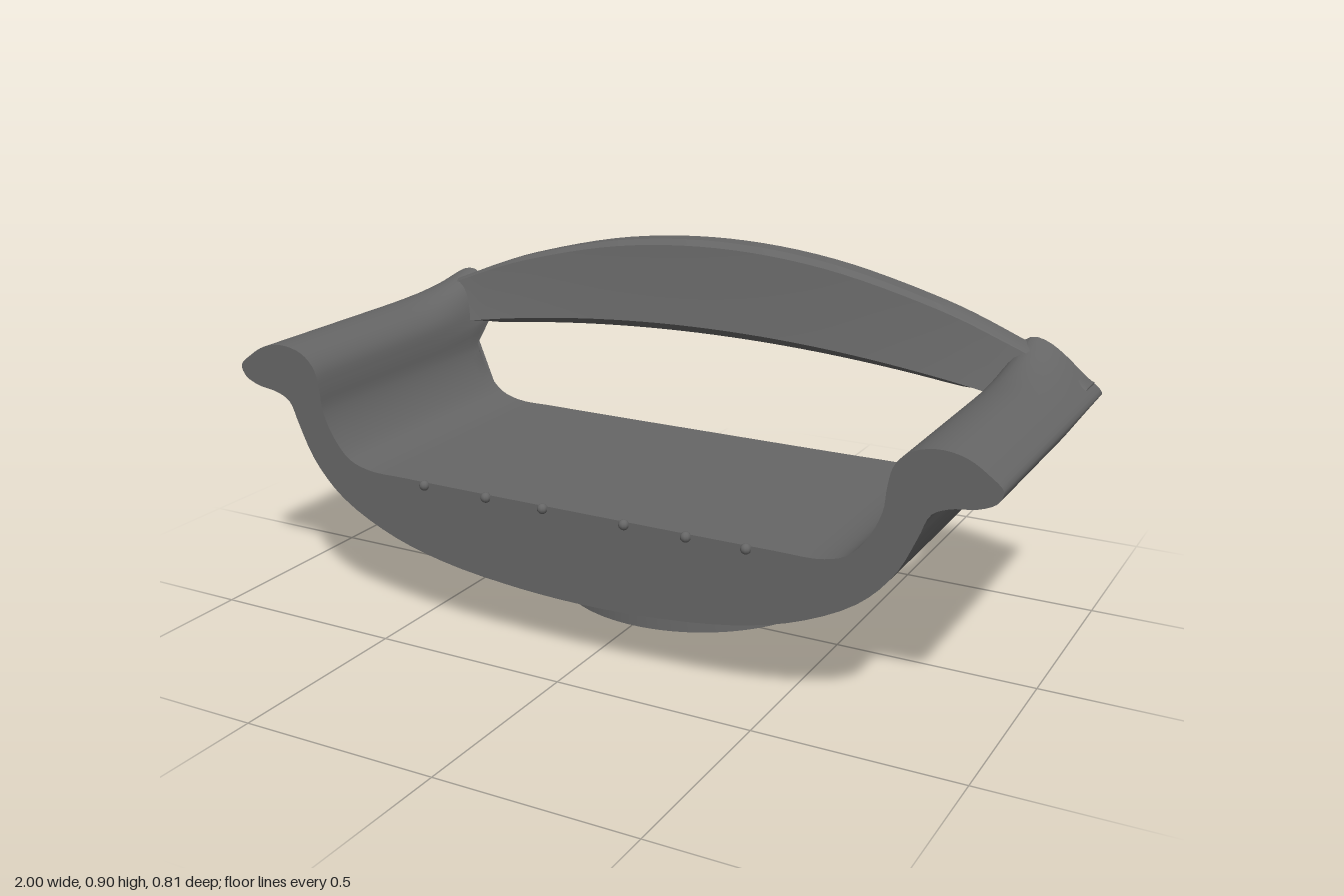
import * as THREE from 'three';
import { toCreasedNormals } from 'three/addons/utils/BufferGeometryUtils.js';

const { smoothstep, clamp, lerp } = THREE.MathUtils;
const grey = new THREE.MeshStandardMaterial({ color: 0x666666 });
grey.name = 'charcoal grey';

function part(name, geometry, crease = 0.6) {
  const mesh = new THREE.Mesh(crease ? toCreasedNormals(geometry, crease) : geometry, grey);
  mesh.name = name;
  return mesh;
}

// Move every vertex by a rule
function warp(geometry, rule) {
  const pos = geometry.attributes.position;
  const v = new THREE.Vector3();
  for (let i = 0; i < pos.count; i++) {
    v.fromBufferAttribute(pos, i);
    rule(v);
    pos.setXYZ(i, v.x, v.y, v.z);
  }
  return geometry;
}

// Seat shell and scrolled arms: one U-shaped section run front to back
function seatShell() {
  const half = [
    [0, .155], [.2, .163], [.4, .188], [.56, .232], [.7, .305], [.78, .39], [.825, .48],
    [.85, .535], [.89, .555], [.95, .565], [.99, .585], [1, .612], [.97, .64], [.92, .67],
    [.86, .68], [.8, .665], [.765, .63], [.752, .58], [.745, .525], [.715, .46],
    [.67, .41], [.61, .39], [.5, .388], [.25, .387], [0, .387],
  ];
  const mirrored = half.slice(1, -1).reverse().map(([x, y]) => [-x, y]);
  const points = [...half, ...mirrored].map(([x, y]) => new THREE.Vector3(x, y, 0));
  const curve = new THREE.CatmullRomCurve3(points, true, 'centripetal');
  const shape = new THREE.Shape(curve.getPoints(170).slice(0, -1).map(p => new THREE.Vector2(p.x, p.y)));
  const geometry = new THREE.ExtrudeGeometry(shape, { depth: .69, steps: 16, bevelEnabled: false });
  geometry.translate(0, 0, -.3);
  return warp(geometry, v => {
    const { x, y, z } = v;
    const rear = clamp((-.1 - z) / .2, 0, 1);
    // underside rises toward the rear
    if (y < .387) {
      v.y += .07 * clamp((.14 - z) / .44, 0, 1) * (.387 - y) / .232;
      v.z += .015 * rear * (.387 - y) / .232;
    }
    // arms reach further back and sweep up into the backrest
    v.z -= .1 * rear * smoothstep(y, .54, .6);
    v.y += .06 * rear * rear * smoothstep(y, .61, .68) * (1 - smoothstep(Math.abs(x), .8, .97));
    v.y += .02 * rear * smoothstep(y, .54, .56) * (1 - smoothstep(y, .57, .62));
  });
}

// Arched backrest lofted from sections across the width
function backrest() {
  const crest = new THREE.SplineCurve([
    [-.98, .638], [-.9, .68], [-.8, .725], [-.6, .8], [-.3, .872], [0, .896],
    [.3, .872], [.6, .8], [.8, .725], [.9, .68], [.98, .638],
  ].map(p => new THREE.Vector2(...p)));
  const stations = 60, ring = 8, positions = [], index = [];
  for (let i = 0; i <= stations; i++) {
    const { x, y: top } = crest.getPoint(i / stations);
    const bottom = Math.max(.595, .652 - .05 * (x / .7) ** 2);
    const h = top - bottom;
    const backZ = lerp(-.335, -.4, smoothstep(Math.abs(x), .65, .85));
    const section = [
      [-.28, bottom + .1 * h], [-.305, bottom + .5 * h], [-.325, top - .06 * h], [-.34, top],
      [-.39, top], [-.402, top - .08 * h], [backZ, bottom + .1 * h], [backZ + .02, bottom],
    ];
    for (const [z, y] of section) positions.push(x, y, z);
  }
  for (let i = 0; i < stations; i++) {
    for (let j = 0; j < ring; j++) {
      const a = i * ring + j, b = i * ring + (j + 1) % ring;
      index.push(a, a + ring, b, b, a + ring, b + ring);
    }
  }
  const last = stations * ring;
  for (let j = 1; j < ring - 1; j++) {
    index.push(0, j, j + 1, last, last + j + 1, last + j);
  }
  const geometry = new THREE.BufferGeometry();
  geometry.setAttribute('position', new THREE.Float32BufferAttribute(positions, 3));
  geometry.setIndex(index);
  return geometry;
}

// Hollow half-round pedestal, flat side to the rear
function pedestal() {
  const shape = new THREE.Shape().absarc(0, .235, .375, Math.PI, 2 * Math.PI, false);
  shape.closePath();
  shape.holes.push(new THREE.Path().absarc(0, .2, .325, Math.PI, 2 * Math.PI, false));
  const geometry = new THREE.ExtrudeGeometry(shape, { depth: .28, bevelEnabled: false, curveSegments: 40 });
  geometry.rotateX(-Math.PI / 2);
  return warp(geometry, v => { v.x *= 1 - .25 * v.y; });
}

export function createModel() {
  const model = new THREE.Group();
  model.name = 'tubChair';
  model.add(part('seatShellWithArms', seatShell()));
  model.add(part('backrest', backrest()));
  model.add(part('pedestal', pedestal()));

  // Small studs along the front edge of the seat
  const studs = new THREE.Group();
  studs.name = 'frontStuds';
  for (const x of [-.44, -.26, -.1, .12, .28, .43]) {
    const stud = part('frontStud', new THREE.SphereGeometry(.013, 10, 8), 0);
    stud.position.set(x, .38, .391);
    studs.add(stud);
  }
  model.add(studs);
  return model;
}
